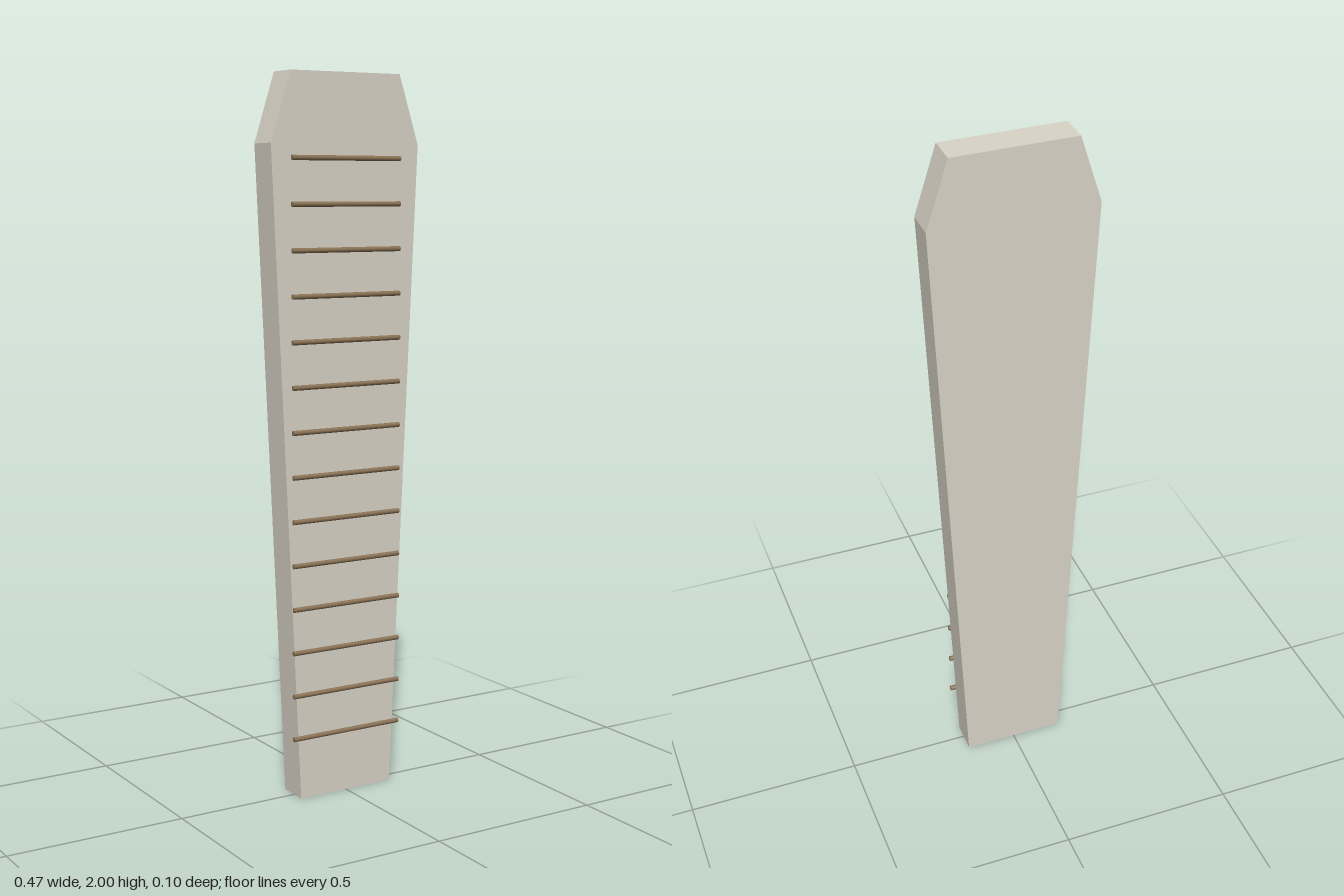
import * as THREE from 'three';

const BACK = -0.05, FACE = 0.039;   // board's rear and front planes
const RUNGS = 14, RUNG_RADIUS = 0.007;

export function createModel() {
  const model = new THREE.Group();
  const stone = new THREE.MeshStandardMaterial({ color: 0xd9d4c7, flatShading: true });
  const wood = new THREE.MeshStandardMaterial({ color: 0x8b7355 });

  // Tapered slab with clipped top corners
  const right = [[0.147, 0], [0.233, 1.81], [0.172, 2]];
  const left = right.map(([x, y]) => [-x, y]).reverse();
  const outline = new THREE.Shape([...right, ...left].map(([x, y]) => new THREE.Vector2(x, y)));
  const slab = new THREE.Mesh(
    new THREE.ExtrudeGeometry(outline, { depth: FACE - BACK, bevelEnabled: false }), stone);
  slab.name = 'taperedBoard';
  slab.position.z = BACK;
  model.add(slab);

  // Evenly spaced round bars, partly sunk into the front face
  const bar = new THREE.CylinderGeometry(RUNG_RADIUS, RUNG_RADIUS, 0.344, 8).rotateZ(Math.PI / 2);
  const bars = new THREE.Group();
  bars.name = 'crossBars';
  for (let i = 0; i < RUNGS; i++) {
    const rung = new THREE.Mesh(bar, wood);
    rung.name = `crossBar${i + 1}`;
    rung.position.set(0, 0.176 + i * 0.1228, 0.05 - RUNG_RADIUS);
    bars.add(rung);
  }
  model.add(bars);
  return model;
}
